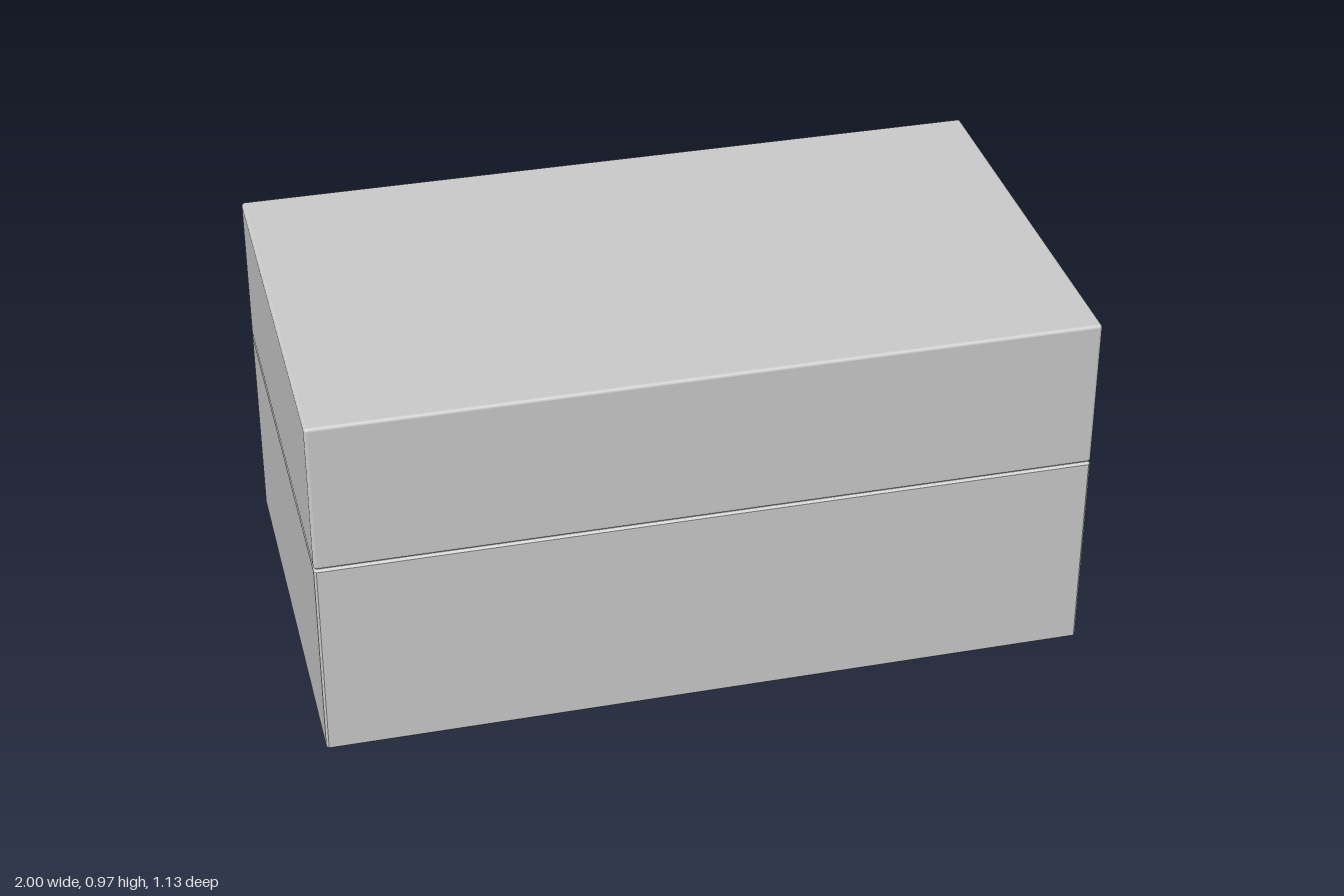
import * as THREE from 'three';
import { RoundedBoxGeometry } from 'three/addons/geometries/RoundedBoxGeometry.js';

const WIDTH = 2, DEPTH = 1.134, SEAM = 0.558, TOP = 0.967;

// Box with a single flat chamfer on every edge, standing on y = 0
function chamferedBox(w, h, d, c) {
  const x = w / 2 - c, z = d / 2 - c;
  const outline = new THREE.Shape();
  outline.moveTo(-x, -z - c);
  [[x, -z - c], [x + c, -z], [x + c, z], [x, z + c], [-x, z + c], [-x - c, z], [-x - c, -z]]
    .forEach(([px, pz]) => outline.lineTo(px, pz));
  outline.closePath();
  const geometry = new THREE.ExtrudeGeometry(outline, {
    depth: h - 2 * c, bevelEnabled: true, bevelSegments: 1,
    bevelThickness: c, bevelSize: c, bevelOffset: -c,
  });
  return geometry.rotateX(-Math.PI / 2).translate(0, c, 0);
}

export function createModel() {
  const material = new THREE.MeshStandardMaterial({ color: 0xcccccc });
  const group = new THREE.Group();
  group.name = 'liddedBox';

  const add = (name, geometry, y = 0) => {
    const mesh = new THREE.Mesh(geometry, material);
    mesh.name = name;
    mesh.position.y = y;
    group.add(mesh);
  };

  // Lower box with crisp chamfered edges
  add('body', chamferedBox(WIDTH, SEAM - 0.001, DEPTH, 0.006));

  // Lid with softly rounded edges, resting on the body
  const lidHeight = TOP - SEAM;
  add('lid', new RoundedBoxGeometry(WIDTH, lidHeight, DEPTH, 3, 0.009), SEAM + lidHeight / 2);

  // Inset strip closing the thin seam between body and lid
  add('seam', new THREE.BoxGeometry(WIDTH - 0.03, 0.02, DEPTH - 0.03), SEAM);

  return group;
}
